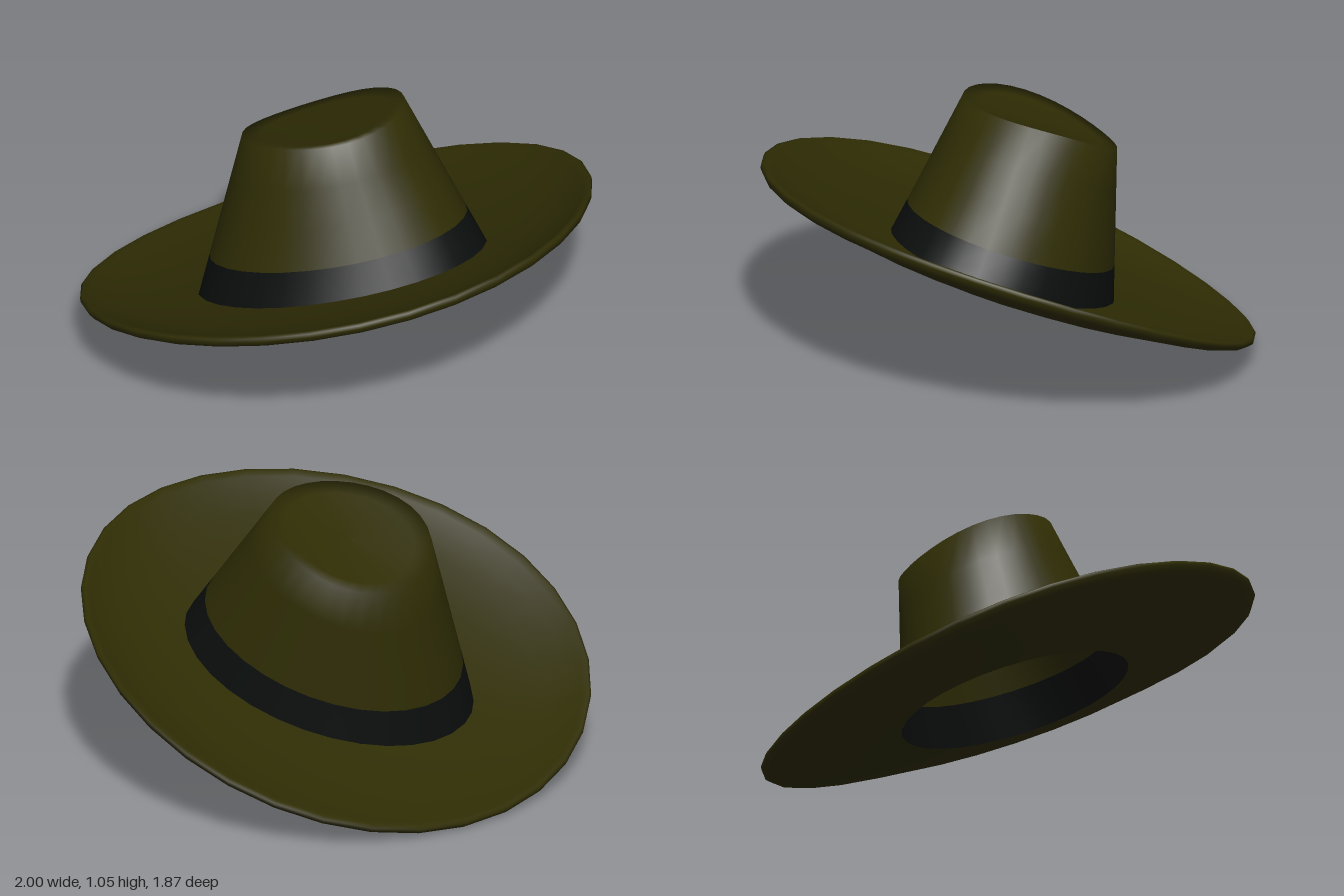
import * as THREE from 'three';

const SIDES = 32;
const TURN = THREE.MathUtils.degToRad(38);

// Skin a series of elliptical rings: [centreX, centreZ, height, semiX, semiZ, lift]
// lift bends a ring up at the hat's sides and down at its front and back
function loft(rings) {
  const pos = [], index = [];
  for (const [cx, cz, h, a, b, lift] of rings) {
    for (let i = 0; i < SIDES; i++) {
      const t = (i / SIDES) * Math.PI * 2;
      pos.push(cx + a * Math.cos(t), h + lift * Math.cos(2 * (t + TURN)), cz + b * Math.sin(t));
    }
  }
  for (let j = 0; j < rings.length - 1; j++) {
    for (let i = 0; i < SIDES; i++) {
      const n = (i + 1) % SIDES;
      const p = j * SIDES + i, q = j * SIDES + n;
      index.push(p, p + SIDES, q, q, p + SIDES, q + SIDES);
    }
  }
  const geo = new THREE.BufferGeometry();
  geo.setAttribute('position', new THREE.Float32BufferAttribute(pos, 3));
  geo.setIndex(index);
  geo.computeVertexNormals();
  return geo;
}

export function createModel() {
  const felt = new THREE.MeshStandardMaterial({ color: 0x2f2d04, side: THREE.DoubleSide });
  const ribbon = new THREE.MeshStandardMaterial({ color: 0x0b0f0d, side: THREE.DoubleSide });

  const hat = new THREE.Group();
  hat.name = 'hat';
  const add = (name, rings, material) => {
    const mesh = new THREE.Mesh(loft(rings), material);
    mesh.name = name;
    hat.add(mesh);
  };

  // Crown wall tapers from an oval opening to a nearly round, shifted top
  const mix = THREE.MathUtils.lerp;
  const height = 0.625;
  const wall = (t) => [0.08 * t, 0.035 * t, height * t, mix(0.58, 0.32, t), mix(0.44, 0.312, t), 0.018 * t];
  const bandTop = 0.25;
  add('hatBand', [0, 0.12, bandTop].map(wall), ribbon);

  // Crown wall flows softly into a shallow dished top
  const dish = [[0.8, -0.01], [0.4, -0.02], [0, -0.022]];
  const top = dish.map(([s, d]) => [0.08, 0.035, height + d, 0.32 * s, 0.312 * s, 0.018 * s * s]);
  add('crown', [...[bandTop, 0.5, 0.75, 1].map(wall), ...top], felt);

  // Brim: underside outwards, round the rolled edge, then back in on top
  const brim = [
    [0, 0], [0.3, 0.008], [0.6, 0.03], [0.83, 0.056], [0.92, 0.066], [0.97, 0.078],
    [1, 0.098], [0.998, 0.112], [0.975, 0.118], [0.92, 0.108], [0.8, 0.084],
    [0.6, 0.058], [0.3, 0.034], [0, 0.025],
  ];
  add('brim', brim.map(([t, h]) => [0, 0, h, mix(0.58, 1.006, t), mix(0.44, 1.006, t), 0.03 * t * t]), felt);

  // Turn the long axis, then tip the hat backwards and slightly sideways
  hat.rotation.y = -TURN;
  const tilt = new THREE.Group();
  tilt.name = 'tiltedHat';
  tilt.add(hat);
  tilt.quaternion.setFromUnitVectors(
    new THREE.Vector3(0, 1, 0),
    new THREE.Vector3(-0.09, 1, -0.408).normalize()
  );

  // Rest on the ground, centred
  const box = new THREE.Box3().setFromObject(tilt, true);
  const c = box.getCenter(new THREE.Vector3());
  tilt.position.set(-c.x, -box.min.y, -c.z);

  const model = new THREE.Group();
  model.name = 'wideBrimHat';
  model.add(tilt);
  return model;
}
